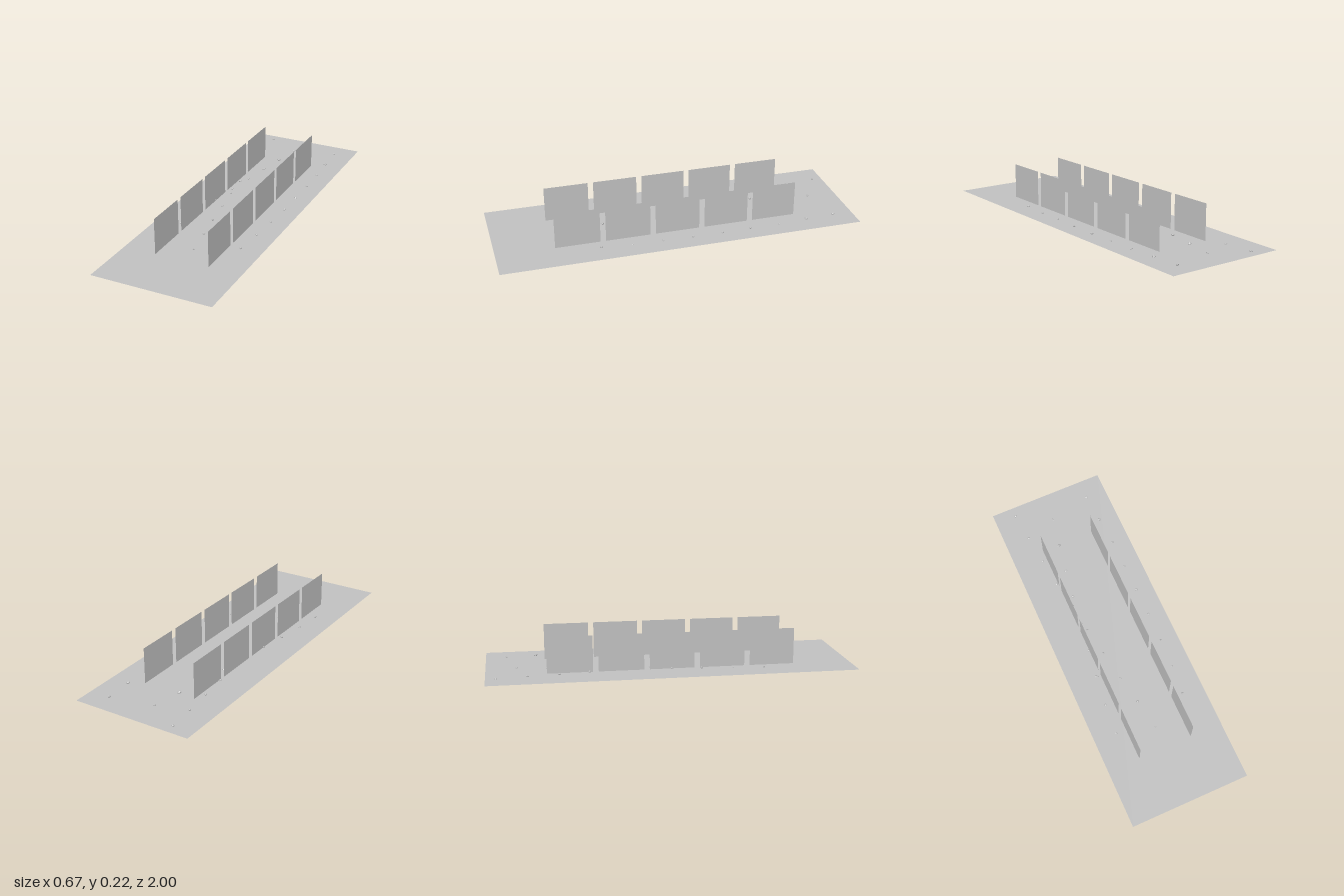
import * as THREE from 'three';

export function createModel() {
  const model = new THREE.Group();
  const grey = new THREE.MeshStandardMaterial({ color: 0xc0c0c0, side: THREE.DoubleSide, flatShading: true });
  grey.name = 'grey';
  const groundY = 0.014;

  // Flat ground sheet
  const ground = new THREE.Mesh(new THREE.PlaneGeometry(0.674, 2).rotateX(-Math.PI / 2), grey);
  ground.name = 'ground';
  ground.position.y = groundY;
  model.add(ground);

  // Two rows of five upright panels, reaching slightly below the ground
  const panels = new THREE.Group();
  panels.name = 'panels';
  const panelGeometry = new THREE.PlaneGeometry(0.247, 0.215).rotateY(Math.PI / 2);
  for (const side of [-1, 1]) {
    for (let i = -2; i <= 2; i++) {
      const panel = new THREE.Mesh(panelGeometry, grey);
      panel.name = side > 0 ? 'leftPanel' : 'rightPanel';
      panel.position.set(side * 0.153, 0.1075, i * 0.277 + 0.003);
      panels.add(panel);
    }
  }
  model.add(panels);

  // Scattered stones: x, z, radius
  const stones = new THREE.Group();
  stones.name = 'stones';
  const places = [
    [-0.214, -0.944, 0.009], [-0.198, -0.78, 0.008], [-0.18, -0.61, 0.009], [-0.16, -0.447, 0.009],
    [-0.136, -0.283, 0.01], [-0.13, -0.167, 0.008], [-0.114, -0.114, 0.008], [-0.156, 0, 0.007],
    [-0.087, 0.05, 0.008], [-0.177, 0.16, 0.01], [-0.06, 0.22, 0.008], [-0.198, 0.33, 0.008],
    [-0.03, 0.384, 0.01], [-0.209, 0.5, 0.008], [0, 0.553, 0.006],
    [-0.024, -0.833, 0.008], [-0.055, -0.664, 0.011], [-0.082, -0.5, 0.01], [-0.108, -0.336, 0.008],
    [0.217, -0.888, 0.01], [0.227, -0.722, 0.011], [0.238, -0.558, 0.008], [0.241, -0.389, 0.008],
    [0.243, -0.225, 0.009], [0.243, -0.06, 0.009], [0.236, 0.108, 0.008], [0.23, 0.273, 0.008],
    [0.217, 0.442, 0.01],
  ];
  const stoneGeometry = new THREE.DodecahedronGeometry(1);
  places.forEach(([x, z, r], i) => {
    const stone = new THREE.Mesh(stoneGeometry, grey);
    stone.name = 'stone';
    stone.scale.set(r, r * 0.65, r * 0.8);
    stone.rotation.set(Math.sin(i * 3) * 0.4, i * 2.4, Math.cos(i * 5) * 0.4);
    stone.position.set(x, groundY + r * 0.4, z);
    stones.add(stone);
  });
  model.add(stones);

  return model;
}
